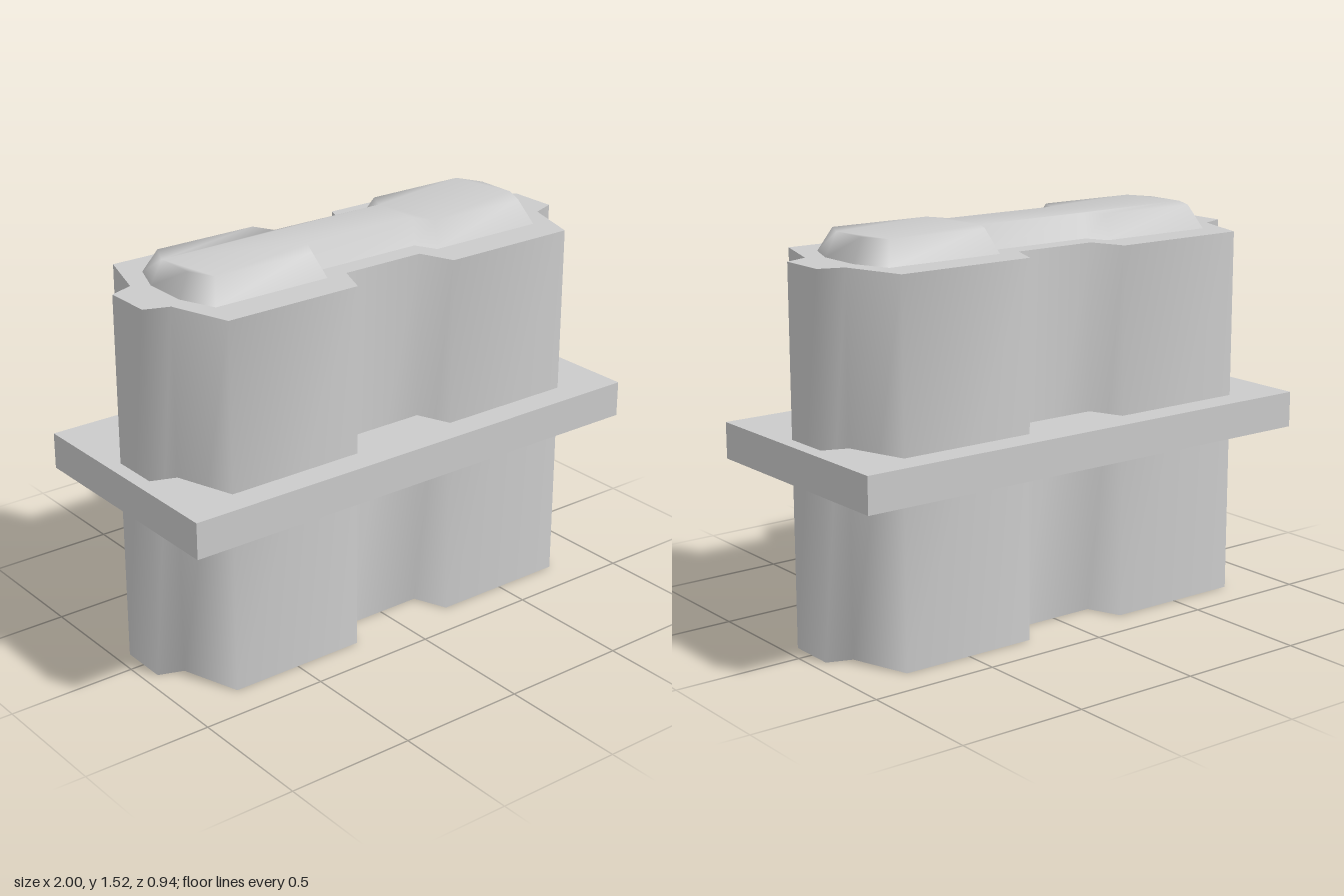
import * as THREE from 'three';

const material = new THREE.MeshStandardMaterial({ color: 0xcccccc, side: THREE.DoubleSide });

// Mirror one quadrant of [x, z] points into a closed outline
function outline(quarter) {
  const half = [...quarter, ...quarter.map(([x, z]) => [-x, z]).reverse()];
  return [...half, ...half.map(([x, z]) => [x, -z]).reverse()];
}

// Shell with an open bottom: walls between two outlines plus a closed top.
// style: 'flat' = faceted, 'walls' = smooth walls with a sharp flat top, 'smooth' = all smooth
function shell(name, bottom, top, y0, y1, style) {
  const n = bottom.length;
  const pos = [], index = [];
  const ring = (loop, y) => loop.forEach(([x, z]) => pos.push(x, y, z));
  ring(bottom, y0);
  ring(top, y1);
  for (let i = 0; i < n; i++) {
    const j = (i + 1) % n;
    index.push(i, n + i, j, j, n + i, n + j);
  }
  let start = n;
  if (style === 'walls') {
    start = 2 * n;
    ring(top, y1);
  }
  const contour = top.map(([x, z]) => new THREE.Vector2(x, z));
  for (const [a, b, c] of THREE.ShapeUtils.triangulateShape(contour, [])) {
    index.push(start + c, start + b, start + a);
  }
  let geometry = new THREE.BufferGeometry();
  geometry.setAttribute('position', new THREE.Float32BufferAttribute(pos, 3));
  geometry.setIndex(index);
  if (style === 'flat') geometry = geometry.toNonIndexed();
  geometry.computeVertexNormals();
  const mesh = new THREE.Mesh(geometry, material);
  mesh.name = name;
  return mesh;
}

export function createModel() {
  const group = new THREE.Group();
  group.name = 'model';

  // Tall hollow body with a waisted outline and stepped ends
  const body = outline([[0.945, 0.095], [0.85, 0.13], [0.775, 0.362], [0.222, 0.362], [0.17, 0.23]]);
  group.add(shell('body', body, body, 0, 1.435, 'walls'));

  // Rectangular band around the middle, open underneath
  const band = outline([[1, 0.47]]);
  group.add(shell('band', band, band, 0.65, 0.79, 'flat'));

  // Raised dumbbell-shaped cap with sloping sides
  const capBase = outline([[0.79, 0.09], [0.735, 0.23], [0.255, 0.23], [0.215, 0.147]]);
  const capTop = outline([[0.747, 0.08], [0.7, 0.18], [0.285, 0.18], [0.245, 0.1]]);
  group.add(shell('cap', capBase, capTop, 1.435, 1.525, 'smooth'));

  // Upright panel inside the hollow body
  const panel = new THREE.Mesh(new THREE.PlaneGeometry(0.52, 0.52), material);
  panel.name = 'innerPanel';
  panel.position.y = 0.28;
  group.add(panel);

  return group;
}
